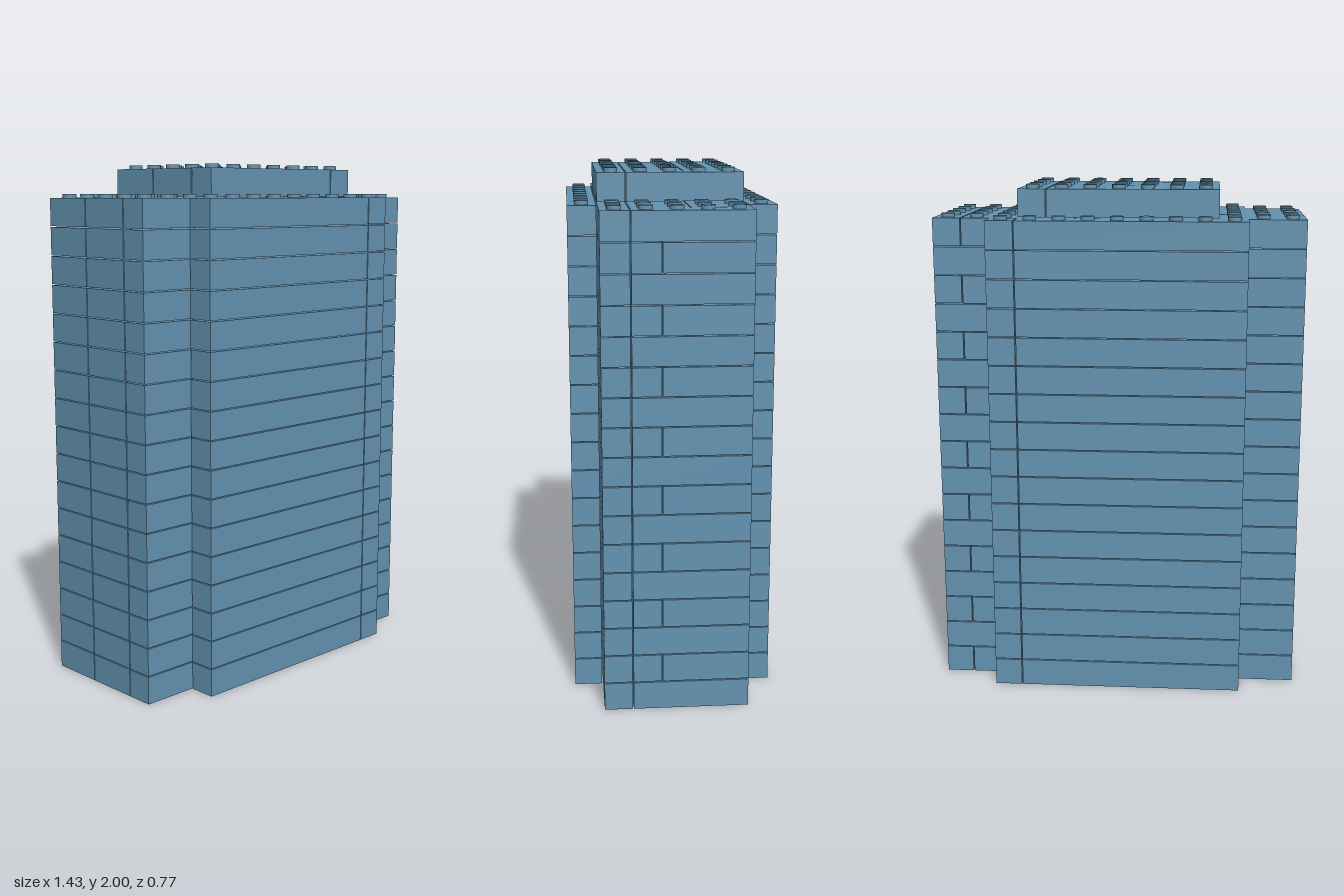
import * as THREE from 'three';
import { mergeGeometries } from 'three/addons/utils/BufferGeometryUtils.js';

const PITCH = 0.11, COURSE = 0.1105, GAP = 0.004;
const COLS = 13, ROWS = 7, COURSES = 17;
const STUD_RADIUS = 0.026, STUD_HEIGHT = 0.015;

const gridX = (col) => (col - COLS / 2) * PITCH;
const gridZ = (row) => (row - ROWS / 2) * PITCH;
const topOf = (course) => (course + 1) * COURSE - GAP;

// One brick covering columns c0..c1 and rows r0..r1 (end exclusive)
function brick(course, [c0, c1, r0, r1]) {
  const height = COURSE - GAP;
  const geometry = new THREE.BoxGeometry((c1 - c0) * PITCH - GAP, height, (r1 - r0) * PITCH - GAP);
  return geometry.translate(
    (gridX(c0) + gridX(c1)) / 2,
    course * COURSE + height / 2,
    (gridZ(r0) + gridZ(r1)) / 2
  );
}

function stud(course, col, row) {
  return new THREE.CylinderGeometry(STUD_RADIUS, STUD_RADIUS, STUD_HEIGHT, 20)
    .translate(gridX(col + 0.5), topOf(course) + STUD_HEIGHT / 2, gridZ(row + 0.5));
}

// Layouts: columns from, to, rows from, to
const shared = [
  [2, 10, 0, 1], [10, 11, 0, 1],               // back strip
  [2, 10, 6, 7], [10, 11, 6, 7],               // front strip
  [0, 8, 1, 3], [0, 8, 3, 5], [0, 8, 5, 6],    // long core bricks
  [8, 12, 5, 6], [12, 13, 5, 6]
];
const evenCourse = [...shared, [8, 12, 1, 3], [8, 12, 3, 5], [12, 13, 1, 5]];
const oddCourse = [...shared, [8, 13, 1, 4], [8, 13, 4, 5]];
const capCourse = [
  [3, 9, 1, 3], [3, 9, 3, 5], [3, 9, 5, 6],
  [9, 10, 1, 5], [9, 10, 5, 6]
];

const inCap = (col, row) => col >= 3 && col < 10 && row >= 1 && row < 6;

// Outline of the main block: a wide core with narrower front and back strips
const inBlock = (col, row) => (row > 0 && row < ROWS - 1) || (col >= 2 && col < 11);

export function createModel() {
  const group = new THREE.Group();
  group.name = 'brickBlock';
  const blue = new THREE.MeshStandardMaterial({ color: 0x6493b1 });
  blue.name = 'dustyBlue';

  const add = (name, geometries) => {
    const mesh = new THREE.Mesh(mergeGeometries(geometries), blue);
    mesh.name = name;
    group.add(mesh);
  };

  // Stacked courses with alternating joints
  for (let k = 0; k < COURSES; k++) {
    const layout = k % 2 ? oddCourse : evenCourse;
    add(`course${k + 1}`, layout.map((cells) => brick(k, cells)));
  }
  add('topCap', capCourse.map((cells) => brick(COURSES, cells)));

  // Studs on the exposed tops
  const lowerStuds = [], capStuds = [];
  for (let col = 0; col < COLS; col++) {
    for (let row = 0; row < ROWS; row++) {
      if (inCap(col, row)) capStuds.push(stud(COURSES, col, row));
      else if (inBlock(col, row)) lowerStuds.push(stud(COURSES - 1, col, row));
    }
  }
  add('lowerStuds', lowerStuds);
  add('capStuds', capStuds);

  return group;
}
